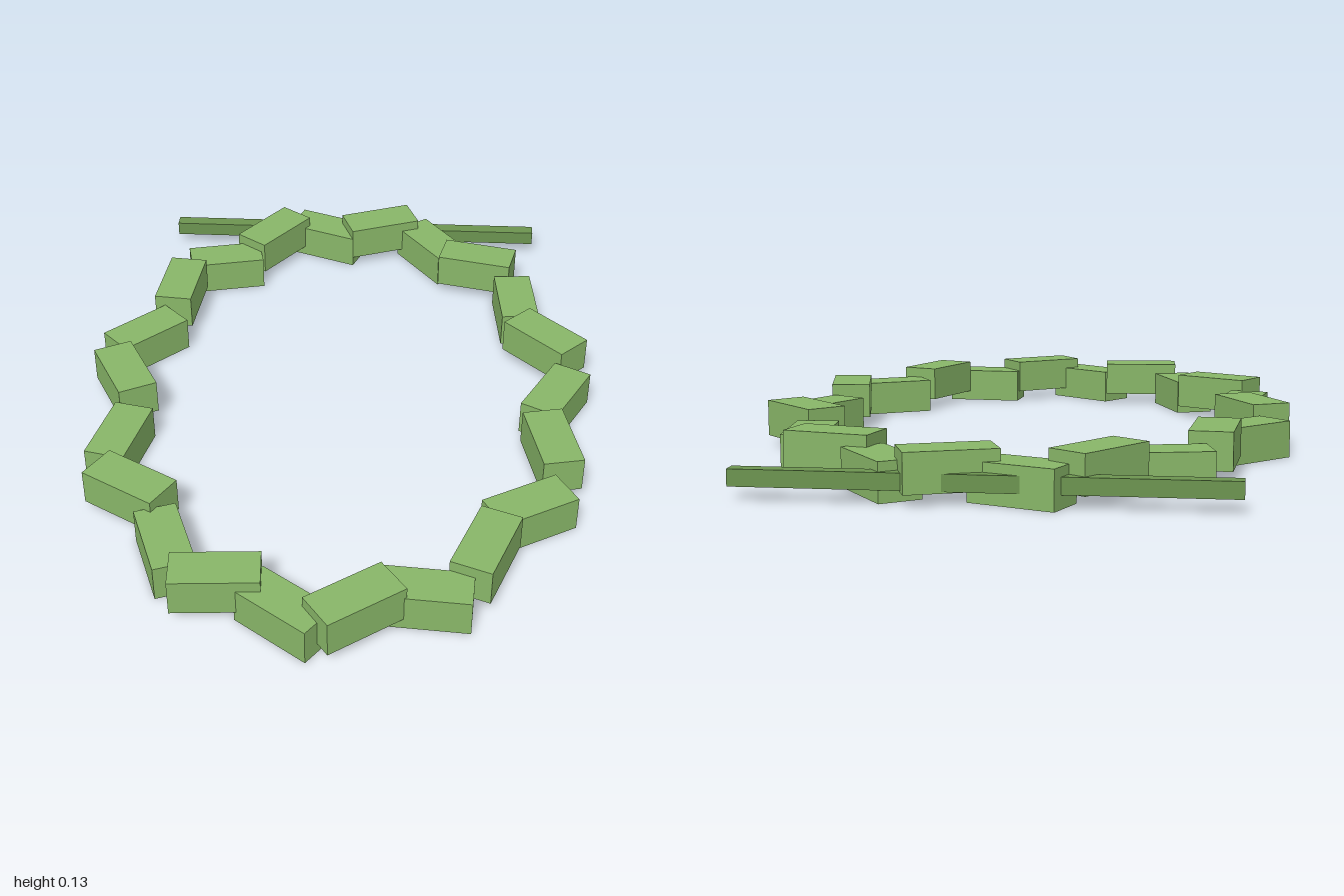
import * as THREE from 'three';

export function createModel() {
  const model = new THREE.Group();
  model.name = 'linkRing';

  const linkGreen = new THREE.MeshStandardMaterial({ color: 0x88b668 });
  linkGreen.name = 'light green';
  const barGreen = new THREE.MeshStandardMaterial({ color: 0x6c9450 });
  barGreen.name = 'dark green';

  // Links of the left half, front to back: x, z, turn in degrees
  const links = [
    [0.087, 0.878, 36],
    [0.263, 0.808, -4],
    [0.41, 0.667, 69],
    [0.53, 0.474, 30],
    [0.6, 0.238, -78],
    [0.625, -0.02, 62],
    [0.605, -0.27, -45],
    [0.528, -0.503, -85],
    [0.409, -0.702, -13],
    [0.262, -0.84, -54],
    [0.087, -0.911, 21],
  ];

  // Both halves mirror each other; links alternate high and low around the ring
  const linkGeometry = new THREE.BoxGeometry(0.23, 0.1, 0.113);
  for (const side of [1, -1]) {
    links.forEach(([x, z, turn], i) => {
      const high = (i % 2 === 0) === (side === 1);
      const link = new THREE.Mesh(linkGeometry, linkGreen);
      link.name = `${side === 1 ? 'left' : 'right'}Link${i + 1}`;
      link.position.set(side * x, high ? 0.08 : 0.05, z);
      link.rotation.y = side * THREE.MathUtils.degToRad(turn);
      model.add(link);
    });
  }

  // Thin crossbar through the back links
  const bar = new THREE.Mesh(new THREE.BoxGeometry(1.2, 0.042, 0.042), barGreen);
  bar.name = 'backBar';
  bar.position.set(0, 0.055, -0.952);
  model.add(bar);

  return model;
}
